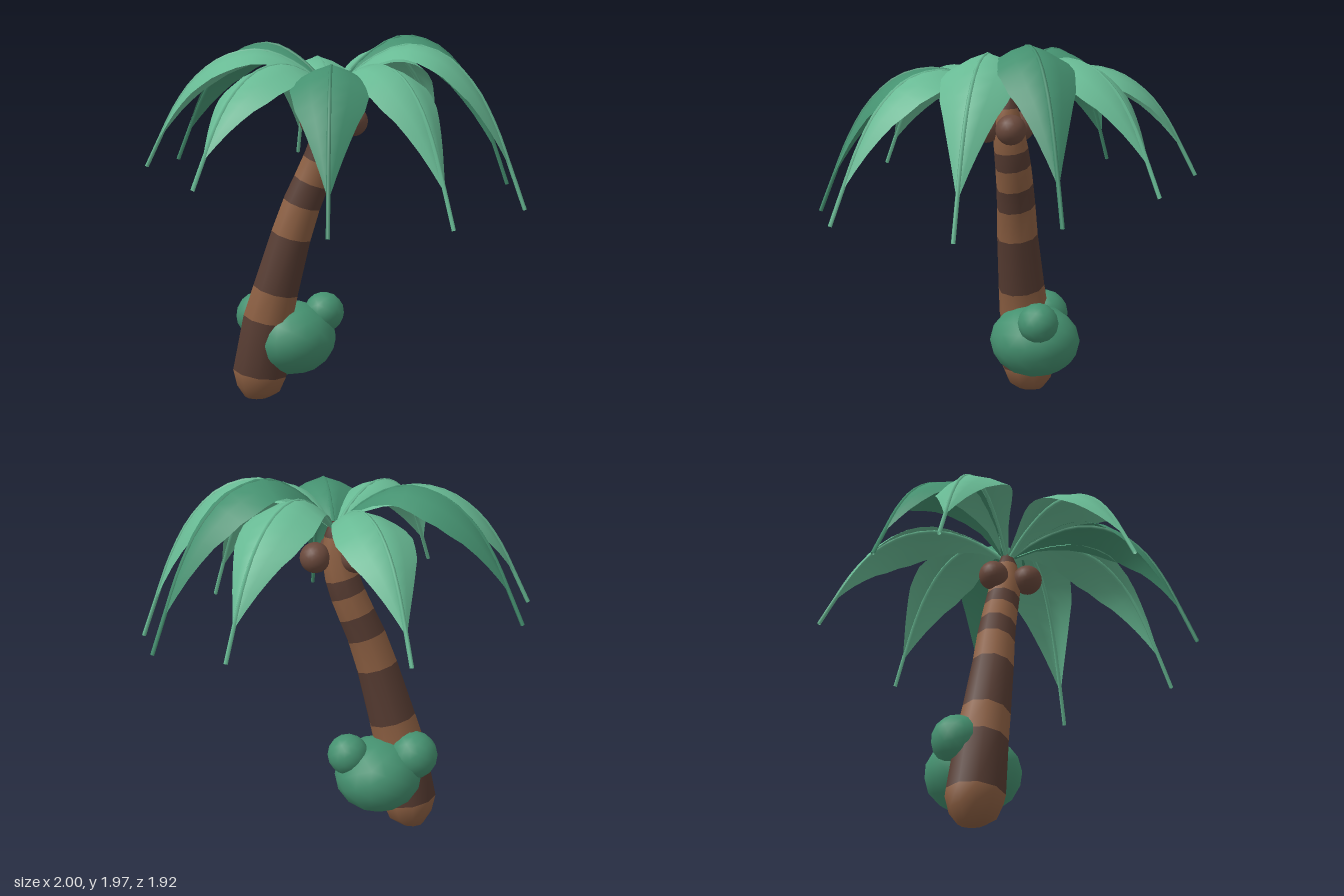
import * as THREE from 'three';

const mat = (name, color, side = THREE.FrontSide) => {
  const m = new THREE.MeshStandardMaterial({ color, side });
  m.name = name;
  return m;
};

// Smooth grid surface from rows of points; closed joins the last column to the first
function gridGeometry(rows, closed) {
  const cols = rows[0].length;
  const geo = new THREE.BufferGeometry().setFromPoints(rows.flat());
  const index = [];
  const last = closed ? cols : cols - 1;
  for (let i = 0; i < rows.length - 1; i++) {
    for (let j = 0; j < last; j++) {
      const k = (j + 1) % cols;
      const a = i * cols + j, b = a + cols, c = i * cols + k, d = c + cols;
      index.push(a, b, c, c, b, d);
    }
  }
  geo.setIndex(index);
  geo.computeVertexNormals();
  return geo;
}

// Linear lookup in a list of [position, value]
function lookup(list, t) {
  for (let i = 1; i < list.length; i++) {
    const [t0, v0] = list[i - 1], [t1, v1] = list[i];
    if (t <= t1) return v0 + (v1 - v0) * (t - t0) / (t1 - t0);
  }
  return list[list.length - 1][1];
}

// Trunk rings: x, y, z, radius, band colour above the ring (0 light, 1 dark)
const TRUNK = [
  [-0.42, 0, 0.05, 0.001, 0],
  [-0.42, 0.015, 0.05, 0.07, 0],
  [-0.41, 0.07, 0.053, 0.122, 0],
  [-0.40, 0.16, 0.055, 0.152, 1],
  [-0.35, 0.46, 0.058, 0.138, 0],
  [-0.305, 0.62, 0.055, 0.128, 1],
  [-0.22, 0.92, 0.042, 0.112, 0],
  [-0.165, 1.09, 0.025, 0.105, 1],
  [-0.115, 1.21, 0.01, 0.1, 0],
  [-0.07, 1.32, 0, 0.096, 1],
  [-0.04, 1.41, -0.002, 0.092, 0],
  [-0.01, 1.53, 0, 0.08, 0],
  [0, 1.63, 0, 0.055, 1],
  [0, 1.7, 0, 0.028, 1],
  [0, 1.705, 0, 0.001, 1],
];

function makeTrunk(materials) {
  const sides = 10;
  const rows = TRUNK.map(([x, y, z, r], i) => {
    const p = TRUNK[Math.max(i - 1, 2)], n = TRUNK[Math.min(Math.max(i + 1, 4), TRUNK.length - 1)];
    const tilt = n[1] > p[1] ? Math.atan2(n[0] - p[0], n[1] - p[1]) : 0;
    return Array.from({ length: sides }, (_, j) => {
      const a = (j / sides) * Math.PI * 2;
      const u = Math.cos(a) * r;
      return new THREE.Vector3(x + u * Math.cos(tilt), y - u * Math.sin(tilt) * (i < 2 ? 0 : 1), z + Math.sin(a) * r);
    });
  });
  const geo = gridGeometry(rows, true);
  for (let i = 0; i < rows.length - 1; i++) geo.addGroup(i * sides * 6, sides * 6, TRUNK[i][4]);
  const mesh = new THREE.Mesh(geo, materials);
  mesh.name = 'trunk';
  return mesh;
}

// Half width of a leaf blade along its length
const WIDTH = [[0, 0.012], [0.15, 0.06], [0.32, 0.135], [0.48, 0.182], [0.63, 0.2], [0.78, 0.165], [0.9, 0.09], [1, 0.01]];
const ROOT = 1.665, BLADE_END = 0.925;

// One arching frond: drooping blade plus a thin rib that pokes out at the tip
function makeFrond(x, z, tipY, peak, material) {
  const reach = Math.hypot(x, z), drop = peak - tipY;
  const spine = new THREE.CatmullRomCurve3([
    [0, ROOT], [0.16, ROOT + (peak - ROOT) * 0.62], [0.37, peak], [0.57, peak - drop * 0.055],
    [0.73, peak - drop * 0.24], [0.84, peak - drop * 0.48], [BLADE_END, peak - drop * 0.75], [1, tipY],
  ].map(([r, y]) => new THREE.Vector3(r * reach, y, 0)));

  const rows = [];
  const steps = 14, uEnd = 6 / 7;
  for (let i = 0; i <= steps; i++) {
    const u = (i / steps) * uEnd;
    const p = spine.getPoint(u), t = spine.getTangent(u);
    const w = lookup(WIDTH, p.x / (reach * BLADE_END));
    rows.push([-1, -0.5, 0, 0.5, 1].map((s) => {
      const sag = 0.45 * w * Math.pow(Math.abs(s), 1.4);
      return new THREE.Vector3(p.x + t.y * sag, p.y - t.x * sag, -s * w);
    }));
  }
  const blade = new THREE.Mesh(gridGeometry(rows, false), material);
  blade.name = 'blade';

  const ribPoints = spine.getPoints(21).map((p) => p.add(new THREE.Vector3(0, -0.008, 0)));
  const rib = new THREE.Mesh(
    new THREE.TubeGeometry(new THREE.CatmullRomCurve3(ribPoints), 20, 0.011, 5), material);
  rib.name = 'rib';

  const frond = new THREE.Group();
  frond.add(blade, rib);
  frond.rotation.y = Math.atan2(-z, x);
  frond.name = 'frond';
  return frond;
}

// Tip x, tip z, tip height, peak height
const FRONDS = [
  [0.99, -0.18, 1.09, 1.93],
  [0.79, -0.64, 1.16, 1.97],
  [0.33, -0.95, 1.26, 1.9],
  [-0.53, -0.86, 1.27, 1.85],
  [-0.99, -0.185, 1.28, 1.93],
  [-0.99, 0.2, 1.28, 1.9],
  [-0.37, 0.935, 1.27, 1.84],
  [0.32, 0.955, 1.08, 1.84],
  [0.815, 0.59, 1.09, 1.84],
];

function ball(name, x, y, z, [rx, ry, rz], detail, material) {
  const mesh = new THREE.Mesh(new THREE.IcosahedronGeometry(1, detail), material);
  mesh.scale.set(rx, ry, rz);
  mesh.position.set(x, y, z);
  mesh.name = name;
  return mesh;
}

export function createModel() {
  const barkLight = mat('light bark', 0x8c5f42);
  const barkDark = mat('dark bark', 0x573c32);
  const shell = mat('coconut shell', 0x6a493c);
  const leafLight = mat('light leaf', 0x68ba94, THREE.DoubleSide);
  const leafDark = mat('dark leaf', 0x459170, THREE.DoubleSide);

  const model = new THREE.Group();
  model.name = 'palmTree';
  model.add(makeTrunk([barkLight, barkDark]));

  // Crown: every third frond is dark
  const crown = new THREE.Group();
  crown.name = 'crown';
  FRONDS.forEach((f, i) => crown.add(makeFrond(...f, i % 3 === 1 ? leafDark : leafLight)));
  model.add(crown);

  // Coconuts under the crown
  for (const [x, z] of [[0.025, 0.112], [0.09, -0.06], [-0.11, -0.02]]) {
    model.add(ball('coconut', x, 1.525, z, [0.08, 0.08, 0.08], 3, shell));
  }

  // Bush at the foot
  const bush = new THREE.Group();
  bush.name = 'bush';
  bush.add(
    ball('bushBody', -0.25, 0.335, -0.05, [0.235, 0.2, 0.25], 2, leafDark),
    ball('bushTuft', -0.1, 0.47, -0.135, [0.11, 0.11, 0.11], 2, leafDark),
    ball('bushTuft', -0.435, 0.45, -0.03, [0.13, 0.13, 0.13], 2, leafDark),
  );
  model.add(bush);
  return model;
}
